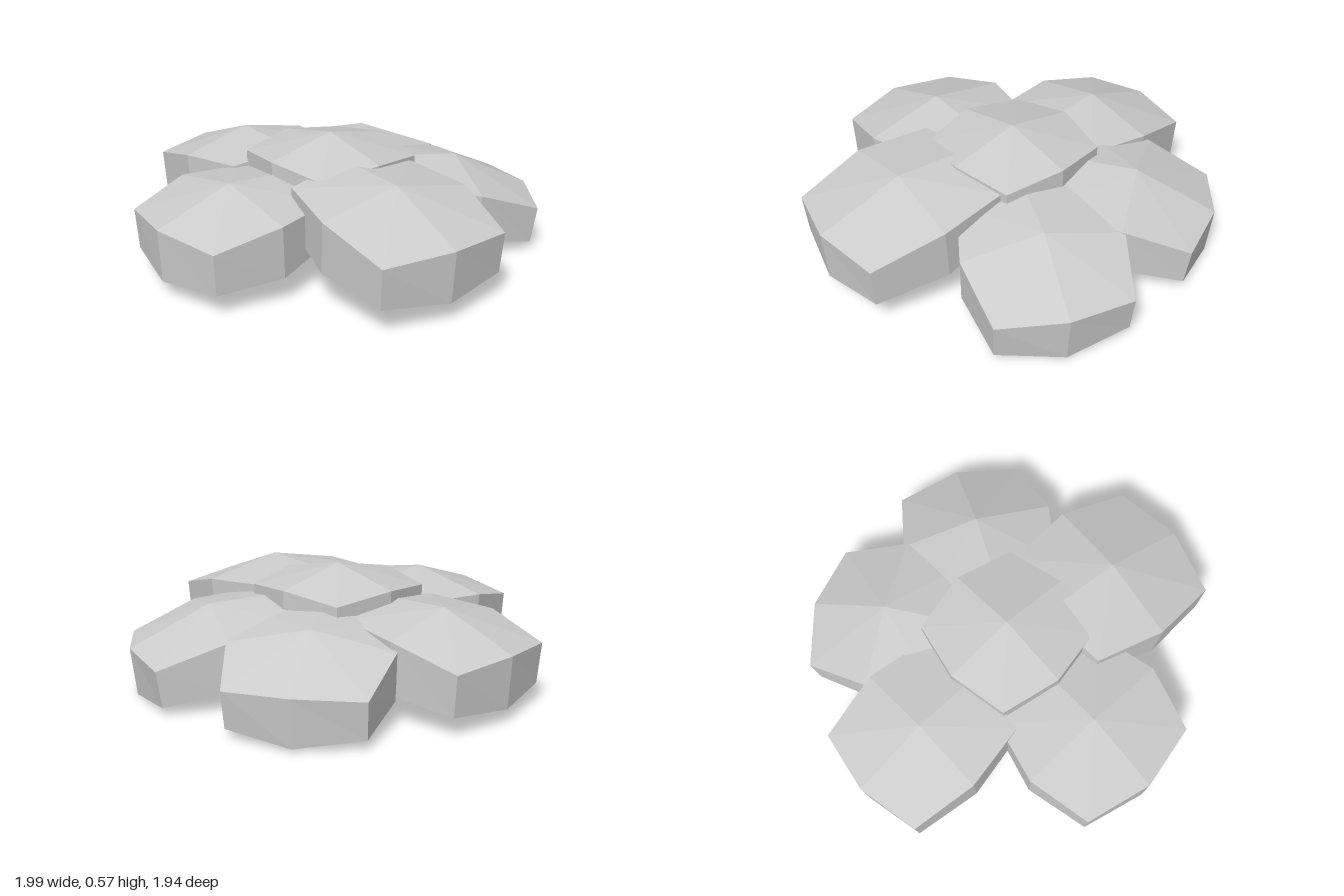
import * as THREE from 'three';

// Domed eight-sided pad: outline of four mid points and four pulled-in corners,
// raised in the middle above and below; slope lowers it towards +z.
function padGeometry({ w, d, corner, slope = 0, thick = 0.25, dome = 0.08, belly = 0.04 }) {
  const pos = [];
  const outline = [[0, 1], [1, 1], [1, 0], [1, -1], [0, -1], [-1, -1], [-1, 0], [-1, 1]];
  const ring = (top) => outline.map(([i, j]) => {
    const c = i && j;
    const x = i * w * (c ? corner : 1) * (top ? 1 : 0.98);
    const z = j * d * (c ? corner : 1) - (top ? 0 : thick * slope * 0.4);
    const y = (top ? (c ? -0.033 : 0) : -thick + (c ? 0.02 : 0)) - z * slope;
    return [x, y, z];
  });
  const top = ring(true), bottom = ring(false);
  const topCentre = [0, dome, 0], bottomCentre = [0, -thick - belly, 0];
  const tri = (a, b, c) => pos.push(...a, ...b, ...c);
  for (let i = 0; i < 8; i++) {
    const n = (i + 1) % 8;
    tri(topCentre, top[i], top[n]);
    tri(bottomCentre, bottom[n], bottom[i]);
    tri(top[i], bottom[i], bottom[n]);
    tri(top[i], bottom[n], top[n]);
  }
  const geo = new THREE.BufferGeometry();
  geo.setAttribute('position', new THREE.Float32BufferAttribute(pos, 3));
  geo.computeVertexNormals();
  return geo;
}

export function createModel() {
  const group = new THREE.Group();
  const material = new THREE.MeshStandardMaterial({ color: 0xcccccc, flatShading: true });

  const addPad = (name, shape, [x, y, z], degrees = 0) => {
    const mesh = new THREE.Mesh(padGeometry(shape), material);
    mesh.name = name;
    mesh.position.set(x, y, z);
    mesh.rotation.y = THREE.MathUtils.degToRad(degrees);
    group.add(mesh);
  };

  // Raised centre
  addPad('centrePad', { w: 0.35, d: 0.35, corner: 0.82, dome: 0.075 }, [-0.01, 0.5, -0.02]);

  // Five petals sloping outwards around the centre
  addPad('frontPetal', { w: 0.4, d: 0.38, corner: 0.81, slope: 0.12 }, [-0.01, 0.38, 0.57]);
  addPad('leftPetal', { w: 0.39, d: 0.41, corner: 0.84, slope: 0.18 }, [0.58, 0.425, 0.09], 84);
  addPad('rightPetal', { w: 0.36, d: 0.38, corner: 0.85, slope: 0.16 }, [-0.62, 0.385, 0.05], -89);
  addPad('backLeftPetal', { w: 0.38, d: 0.38, corner: 0.83, slope: 0.27, thick: 0.235 }, [0.29, 0.34, -0.57], 154.5);
  addPad('backRightPetal', { w: 0.38, d: 0.38, corner: 0.82, slope: 0.25, thick: 0.235 }, [-0.35, 0.345, -0.52], -146);

  return group;
}
